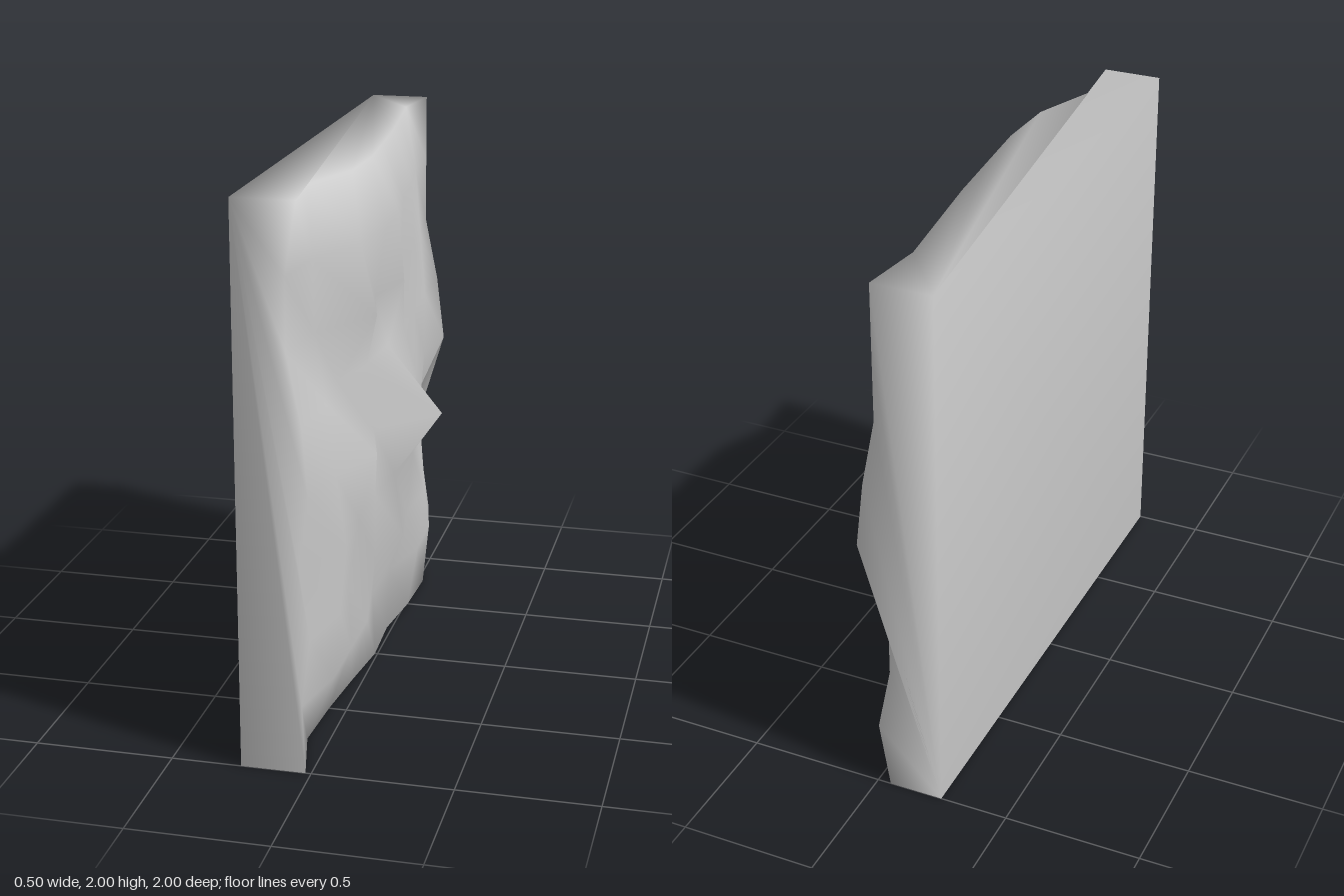
import * as THREE from 'three';

// Relief heights (x) of the rough face: rows run from top to bottom, columns from front to back
const RELIEF = [
  [-0.03, -0.06, 0.03, 0.04, 0.02, 0, -0.03, -0.06, -0.03],
  [-0.07, -0.045, 0.06, 0.09, 0.08, 0.04, 0.02, -0.02, -0.03],
  [-0.07, -0.04, 0.115, 0.05, 0.1, 0.03, 0.03, 0, -0.03],
  [-0.02, 0, -0.025, 0.02, 0.04, 0.045, 0.03, 0.02, 0.02],
  [0, 0.03, 0.115, 0.045, 0.245, 0.09, 0.04, 0.02, 0.05],
  [-0.035, 0.065, 0.05, 0.05, 0.065, 0.08, 0.04, 0, -0.06],
  [0, 0.04, 0.01, 0.05, 0.1, 0.06, 0.075, 0.02, -0.06],
  [-0.03, 0.02, 0.02, 0.02, -0.02, -0.01, 0.05, 0.045, -0.01],
  [-0.02, -0.08, -0.065, -0.04, -0.01, -0.02, 0.01, 0.02, -0.05],
];
const N = RELIEF.length - 1;
const BACK = -0.25;

function slabGeometry() {
  const positions = [];
  const index = [];
  const id = (r, c) => r * (N + 1) + c;

  // Rough face
  RELIEF.forEach((row, r) => row.forEach((x, c) => positions.push(x, 2 - (2 * r) / N, 1 - (2 * c) / N)));
  for (let r = 0; r < N; r++) {
    for (let c = 0; c < N; c++) {
      const a = id(r, c), b = id(r, c + 1), d = id(r + 1, c), e = id(r + 1, c + 1);
      index.push(a, d, e, a, e, b);
    }
  }

  // Flat back
  const corner = positions.length / 3;
  positions.push(BACK, 2, 1, BACK, 0, 1, BACK, 0, -1, BACK, 2, -1);
  index.push(corner + 3, corner + 2, corner + 1, corner + 3, corner + 1, corner);

  // Four side walls, each fanned from one back corner
  const edges = [
    (i) => id(i, 0),
    (i) => id(N, i),
    (i) => id(N - i, N),
    (i) => id(0, N - i),
  ];
  edges.forEach((edge, k) => {
    const start = corner + k;
    const end = corner + ((k + 1) % 4);
    for (let i = 0; i < N; i++) index.push(edge(i + 1), edge(i), start);
    index.push(edge(N), start, end);
  });

  const geometry = new THREE.BufferGeometry();
  geometry.setAttribute('position', new THREE.Float32BufferAttribute(positions, 3));
  geometry.setIndex(index);
  geometry.computeVertexNormals();
  return geometry;
}

export function createModel() {
  const model = new THREE.Group();
  model.name = 'rockWallPanel';
  const slab = new THREE.Mesh(slabGeometry(), new THREE.MeshStandardMaterial({ color: 0xcccccc }));
  slab.name = 'rockSlab';
  model.add(slab);
  return model;
}
